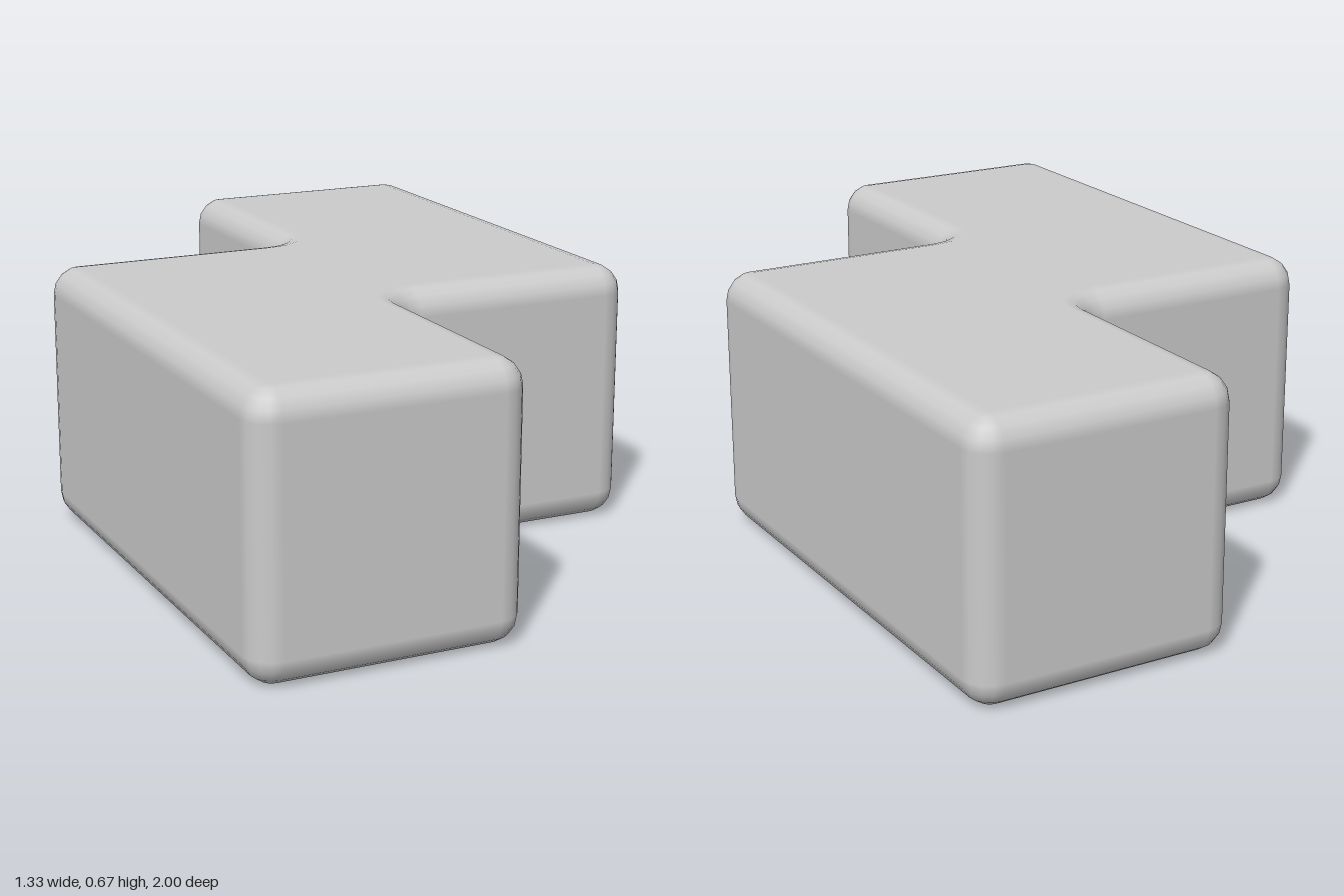
import * as THREE from 'three';

const HEIGHT = 0.667, RADIUS = 0.07, STEPS = 4;

// Zigzag footprint, counter-clockwise seen from above, as (x, -z)
const CORNERS = [
  [-0.667, -1], [0, -1], [0, -0.333], [0.667, -0.333],
  [0.667, 1], [0, 1], [0, 0.333], [-0.667, 0.333],
].map(([x, y]) => new THREE.Vector2(x, y));

// Outline with rounded corners: point, outward normal, and whether the cap needs the point
function roundedOutline() {
  const outline = [];
  CORNERS.forEach((p, i) => {
    const before = CORNERS[(i + 7) % 8], after = CORNERS[(i + 1) % 8];
    const inDir = p.clone().sub(before), outDir = after.clone().sub(p);
    const turn = Math.sign(inDir.cross(outDir));
    const start = inDir.angle() - Math.PI / 2;
    const normalAt = (a) => new THREE.Vector2(Math.cos(a), Math.sin(a));
    const centre = p.clone()
      .addScaledVector(normalAt(start), -turn * RADIUS)
      .addScaledVector(normalAt(start + turn * Math.PI / 2), -turn * RADIUS);
    for (let k = 0; k <= STEPS; k++) {
      const normal = normalAt(start + turn * (k / STEPS) * Math.PI / 2);
      const point = centre.clone().addScaledVector(normal, turn * RADIUS);
      // Convex arcs shrink to a single point on the caps
      outline.push({ point, normal, onCap: turn < 0 || k === 0 });
    }
  });
  return outline;
}

function roundedPrism() {
  const outline = roundedOutline(), n = outline.length;
  const positions = [], normals = [], indices = [];

  // Rings: bottom rounding, straight wall, top rounding
  const rings = [];
  for (let k = 0; k <= STEPS; k++) rings.push([(k / STEPS - 1) * Math.PI / 2, RADIUS]);
  for (let k = 0; k <= STEPS; k++) rings.push([(k / STEPS) * Math.PI / 2, HEIGHT - RADIUS]);
  rings.forEach(([tilt, baseY], j) => {
    const c = Math.cos(tilt), s = Math.sin(tilt);
    outline.forEach(({ point, normal }, i) => {
      const q = point.clone().addScaledVector(normal, -RADIUS * (1 - c));
      positions.push(q.x, baseY + RADIUS * s, -q.y);
      normals.push(normal.x * c, s, -normal.y * c);
      if (j === 0) return;
      const next = (i + 1) % n, a = (j - 1) * n, b = j * n;
      indices.push(a + i, a + next, b + next, a + i, b + next, b + i);
    });
  });

  // Flat top and bottom
  const capIds = outline.map((o, i) => i).filter((i) => outline[i].onCap);
  const capPoints = capIds.map((i) =>
    outline[i].point.clone().addScaledVector(outline[i].normal, -RADIUS));
  const top = (rings.length - 1) * n;
  for (const tri of THREE.ShapeUtils.triangulateShape(capPoints, [])) {
    const [a, b, c] = tri.map((t) => capIds[t]);
    indices.push(top + a, top + b, top + c, c, b, a);
  }

  const geometry = new THREE.BufferGeometry();
  geometry.setAttribute('position', new THREE.Float32BufferAttribute(positions, 3));
  geometry.setAttribute('normal', new THREE.Float32BufferAttribute(normals, 3));
  geometry.setIndex(indices);
  return geometry;
}

export function createModel() {
  const group = new THREE.Group();
  const block = new THREE.Mesh(roundedPrism(), new THREE.MeshStandardMaterial({ color: 0xcccccc }));
  block.name = 'zigzagBlock';
  group.add(block);
  return group;
}
